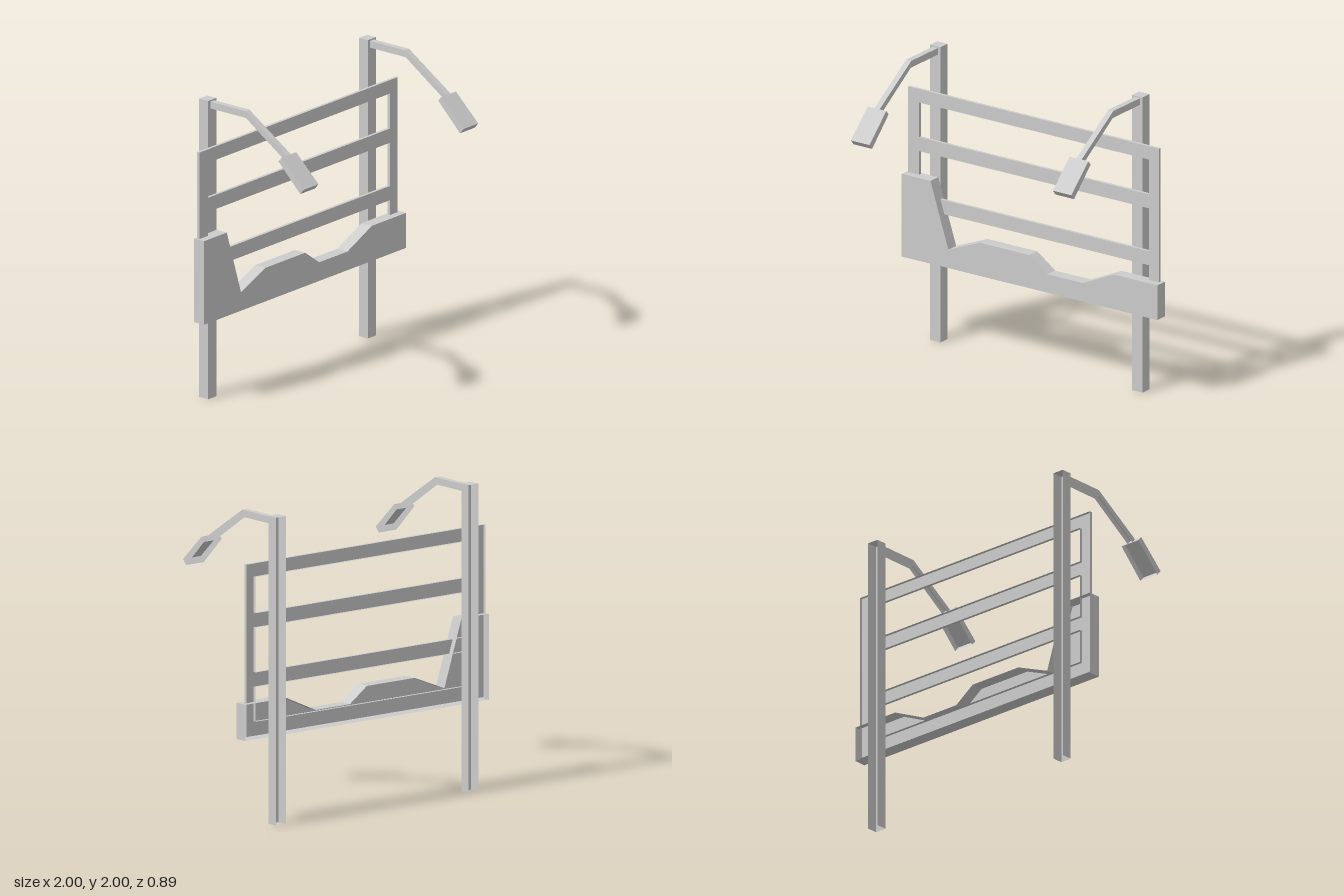
import * as THREE from 'three';

const material = new THREE.MeshStandardMaterial({ color: 0xcccccc, flatShading: true, side: THREE.DoubleSide });

// Sheet-metal look: remove every triangle whose normal meets the test
function dropFaces(source, test) {
  const geo = source.index ? source.toNonIndexed() : source;
  const p = geo.attributes.position;
  const kept = [];
  const tri = new THREE.Triangle();
  const normal = new THREE.Vector3();
  for (let i = 0; i < p.count; i += 3) {
    tri.setFromAttributeAndIndices(p, i, i + 1, i + 2);
    tri.getNormal(normal);
    if (!test(normal)) for (const v of [tri.a, tri.b, tri.c]) kept.push(v.x, v.y, v.z);
  }
  const out = new THREE.BufferGeometry();
  out.setAttribute('position', new THREE.Float32BufferAttribute(kept, 3));
  out.computeVertexNormals();
  return out;
}

function extrude(points, depth, holes = []) {
  const toVectors = (list) => list.map(([x, y]) => new THREE.Vector2(x, y));
  const shape = new THREE.Shape(toVectors(points));
  holes.forEach((h) => shape.holes.push(new THREE.Path(toVectors(h))));
  return new THREE.ExtrudeGeometry(shape, { depth, bevelEnabled: false });
}

// Front plate with a rim around every edge, open at the back
function backlessPlate(points, zBack, depth, holes) {
  return dropFaces(extrude(points, depth, holes).translate(0, 0, zBack), (n) => n.z < -0.9);
}

// Side profile of [z, y] points given a width in x, open underneath
function bottomlessProfile(points, width) {
  const geo = extrude(points, width).rotateY(-Math.PI / 2).translate(width / 2, 0, 0);
  return dropFaces(geo, (n) => n.y < -0.5 && n.z < 0.1);
}

const rect = (x0, y0, x1, y1) => [[x0, y0], [x1, y0], [x1, y1], [x0, y1]];

export function createModel() {
  const model = new THREE.Group();
  const add = (parent, name, geo) => {
    const mesh = new THREE.Mesh(geo, material);
    mesh.name = name;
    parent.add(mesh);
  };

  // Stepped lower panel
  add(model, 'lowerPanel', backlessPlate([
    [-1, 0.56], [1, 0.56], [1, 0.795], [0.66, 0.795], [0.42, 0.685], [0.14, 0.685],
    [0, 0.785], [-0.39, 0.785], [-0.635, 0.685], [-0.775, 1.12], [-1, 1.12],
  ], -0.36, 0.085));

  // Rail frame with three long openings
  const openings = [[0.67, 0.895], [0.99, 1.28], [1.375, 1.61]];
  add(model, 'railFrame', backlessPlate(
    rect(-0.985, 0.575, 0.975, 1.7), -0.345, 0.02,
    openings.map(([low, high]) => rect(-0.9, low, 0.9, high)),
  ));

  // Channel posts, each carrying a bent lamp arm
  const post = dropFaces(
    new THREE.BoxGeometry(0.08, 2, 0.075).translate(0, 1, -0.4075),
    (n) => n.z < -0.9 || n.y < -0.9,
  );
  const arm = bottomlessProfile([
    [-0.37, 1.945], [-0.075, 1.945], [0.24, 1.735], [0.265, 1.765], [-0.08, 1.99], [-0.37, 1.99],
  ], 0.04);
  const head = bottomlessProfile([[0.24, 1.735], [0.42, 1.555], [0.45, 1.59], [0.265, 1.765]], 0.145);
  for (const [side, x] of [['right', -0.805], ['left', 0.775]]) {
    const support = new THREE.Group();
    support.name = `${side}Support`;
    support.position.x = x;
    add(support, 'post', post);
    add(support, 'lampArm', arm);
    add(support, 'lampHead', head);
    model.add(support);
  }
  return model;
}
